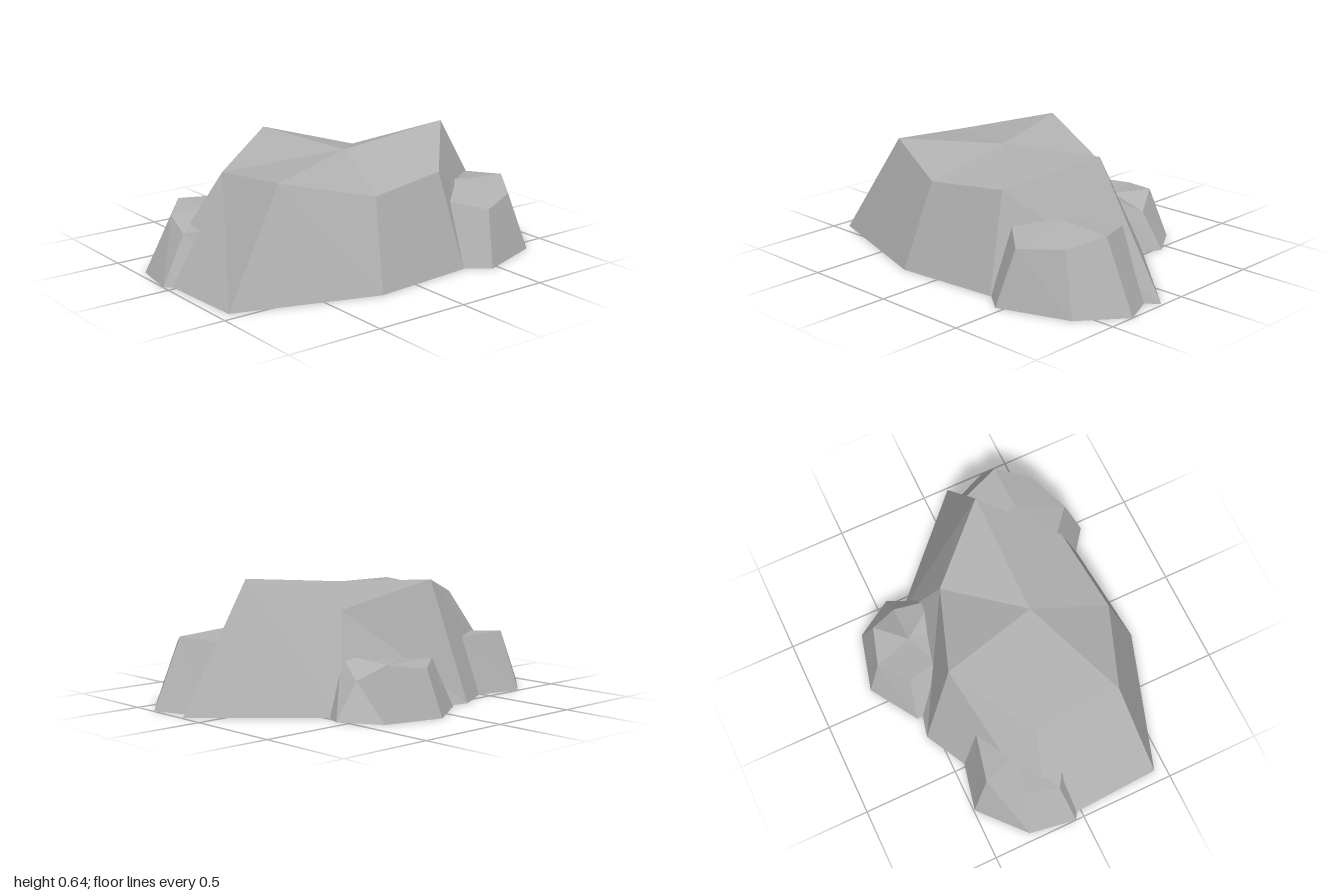
import * as THREE from 'three';

const stone = new THREE.MeshStandardMaterial({ color: 0xb0b0b0, flatShading: true, side: THREE.DoubleSide });
stone.name = 'stone grey';

// Open-bottomed boulder: base ring [x, z] on the ground, top ring [x, y, z], fanned to a centre point
function boulder(name, centre, base, top) {
  const n = base.length;
  const points = [...base.map(([x, z]) => [x, 0, z]), ...top, centre];
  const index = [];
  for (let i = 0; i < n; i++) {
    const j = (i + 1) % n;
    index.push(i, n + i, n + j, i, n + j, j); // side
    index.push(2 * n, n + j, n + i); // top facet
  }
  const indexed = new THREE.BufferGeometry();
  indexed.setAttribute('position', new THREE.Float32BufferAttribute(points.flat(), 3));
  indexed.setIndex(index);
  const geometry = indexed.toNonIndexed();
  geometry.computeVertexNormals();
  const mesh = new THREE.Mesh(geometry, stone);
  mesh.name = name;
  return mesh;
}

export function createModel() {
  const group = new THREE.Group();
  group.name = 'rockCluster';

  // Large central rock
  group.add(boulder('mainRock', [-0.045, 0.58, 0.14],
    [[0.99, 0.14], [0.34, 0.625], [-0.22, 0.675], [-0.94, 0.44], [-0.97, -0.18], [-0.267, -0.555], [0.43, -0.39]],
    [[0.595, 0.64, 0.14], [0.285, 0.485, 0.485], [-0.155, 0.445, 0.535], [-0.6, 0.545, 0.36],
      [-0.615, 0.505, -0.1], [-0.185, 0.62, -0.37], [0.28, 0.49, -0.21]]));

  // Small rock at the front left
  group.add(boulder('frontRock', [0.585, 0.37, 0.36],
    [[1, 0.36], [0.825, 0.58], [0.46, 0.71], [0.23, 0.535], [0.2, 0.2], [0.5, -0.02], [0.87, 0.06]],
    [[0.835, 0.355, 0.36], [0.73, 0.305, 0.525], [0.505, 0.28, 0.62], [0.335, 0.325, 0.475],
      [0.34, 0.39, 0.26], [0.53, 0.34, 0.12], [0.745, 0.338, 0.12]]));

  // Small rock at the back
  group.add(boulder('backRock', [0.19, 0.235, -0.44],
    [[0.525, -0.44], [0.4, -0.18], [0.1, -0.1], [-0.15, -0.28], [-0.155, -0.56], [0.095, -0.72], [0.4, -0.64]],
    [[0.395, 0.18, -0.44], [0.32, 0.28, -0.25], [0.13, 0.26, -0.22], [0.01, 0.24, -0.36],
      [-0.03, 0.257, -0.53], [0.125, 0.235, -0.645], [0.32, 0.255, -0.585]]));

  // Small rock at the back right
  group.add(boulder('sideRock', [-0.62, 0.3, -0.2],
    [[-0.25, -0.2], [-0.4, 0.08], [-0.72, 0.12], [-1, -0.045], [-0.96, -0.29], [-0.73, -0.495], [-0.42, -0.425]],
    [[-0.35, 0.3, -0.2], [-0.45, 0.28, 0], [-0.68, 0.27, 0.04], [-0.86, 0.237, -0.08],
      [-0.825, 0.283, -0.25], [-0.69, 0.312, -0.405], [-0.43, 0.3, -0.345]]));

  return group;
}
